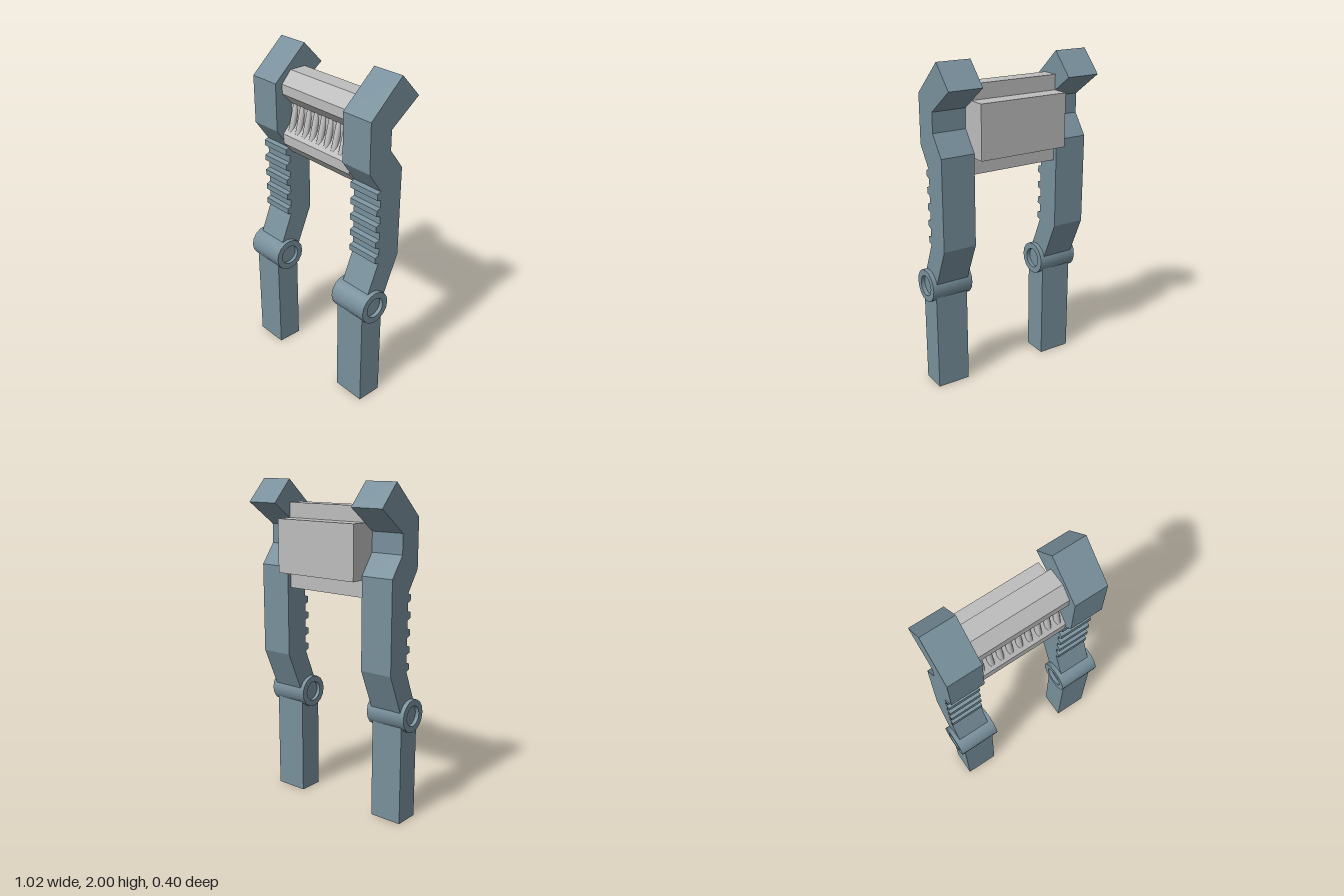
import * as THREE from 'three';
import { toCreasedNormals } from 'three/addons/utils/BufferGeometryUtils.js';

// Extrudes a (z, y) outline along x, centred on x = 0
function slab(points, width) {
  const shape = new THREE.Shape(points.map(([z, y]) => new THREE.Vector2(z, y)));
  const g = new THREE.ExtrudeGeometry(shape, { depth: width, bevelEnabled: false });
  g.translate(0, 0, -width / 2);
  g.rotateY(-Math.PI / 2);
  return g;
}

export function createModel() {
  const model = new THREE.Group();
  const steel = new THREE.MeshStandardMaterial({ color: 0x78909c });
  steel.name = 'blueGreySteel';
  const light = new THREE.MeshStandardMaterial({ color: 0xbdbdbd });
  light.name = 'lightGrey';

  const add = (parent, name, geometry, material, x = 0, y = 0, z = 0) => {
    const mesh = new THREE.Mesh(geometry, material);
    mesh.name = name;
    mesh.position.set(x, y, z);
    parent.add(mesh);
    return mesh;
  };

  const armWidth = 0.206;
  // Bent upper arm with hooked head
  const armGeo = slab([
    [-0.07, 2], [0.147, 1.805], [0.147, 1.516], [0.058, 1.388], [0.058, 0.94],
    [0.162, 0.69], [0.03, 0.645], [-0.096, 0.94], [-0.096, 1.485],
    [-0.005, 1.608], [-0.005, 1.725], [-0.198, 1.865],
  ], armWidth);
  // Grip ridge with sloped edges
  const ridgeGeo = slab([[0.05, -0.027], [0.058, -0.027], [0.085, -0.018],
    [0.085, 0.018], [0.058, 0.027], [0.05, 0.027]], armWidth);
  // Hinge barrel with a round recess at each end
  const hingeGeo = toCreasedNormals(new THREE.LatheGeometry([
    [0, -0.106], [0.062, -0.106], [0.062, -0.13], [0.1, -0.13],
    [0.1, 0.13], [0.062, 0.13], [0.062, 0.106], [0, 0.106],
  ].map(([r, h]) => new THREE.Vector2(r, h)), 16).rotateZ(Math.PI / 2), Math.PI / 6);
  const legGeo = new THREE.BoxGeometry(armWidth, 0.665, 0.155);

  for (const [side, s] of [['left', 1], ['right', -1]]) {
    const arm = new THREE.Group();
    arm.name = side + 'Arm';
    arm.position.x = s * 0.382;
    add(arm, 'upperArm', armGeo, steel);
    for (let i = 0; i < 5; i++) add(arm, 'gripRidge', ridgeGeo, steel, 0, 1.363 - i * 0.1, 0);
    add(arm, 'hinge', hingeGeo, steel, 0, 0.665, 0.099);
    add(arm, 'lowerLeg', legGeo, steel, 0, 0.3325, 0.098);
    model.add(arm);
  }

  // Cross body with a recessed front channel
  const cross = new THREE.Group();
  cross.name = 'crossBody';
  add(cross, 'channelBody', slab([
    [-0.07, 1.865], [-0.07, 1.357], [0.035, 1.357], [0.1, 1.43], [0.1, 1.49],
    [0.035, 1.563], [0.035, 1.665], [0.1, 1.735], [0.1, 1.793], [0.035, 1.865],
  ], 0.558), light);
  add(cross, 'backBlock', new THREE.BoxGeometry(0.558, 0.316, 0.115), light, 0, 1.618, -0.1165);

  // Leaning rods inside the channel
  const rodGeo = new THREE.CylinderGeometry(0.019, 0.019, 0.24, 12);
  for (let i = -4; i <= 4; i++) {
    const rod = add(cross, 'rod', rodGeo, light, i * 0.0613, 1.588, 0.045);
    rod.rotation.x = -0.26;
  }
  model.add(cross);
  return model;
}
